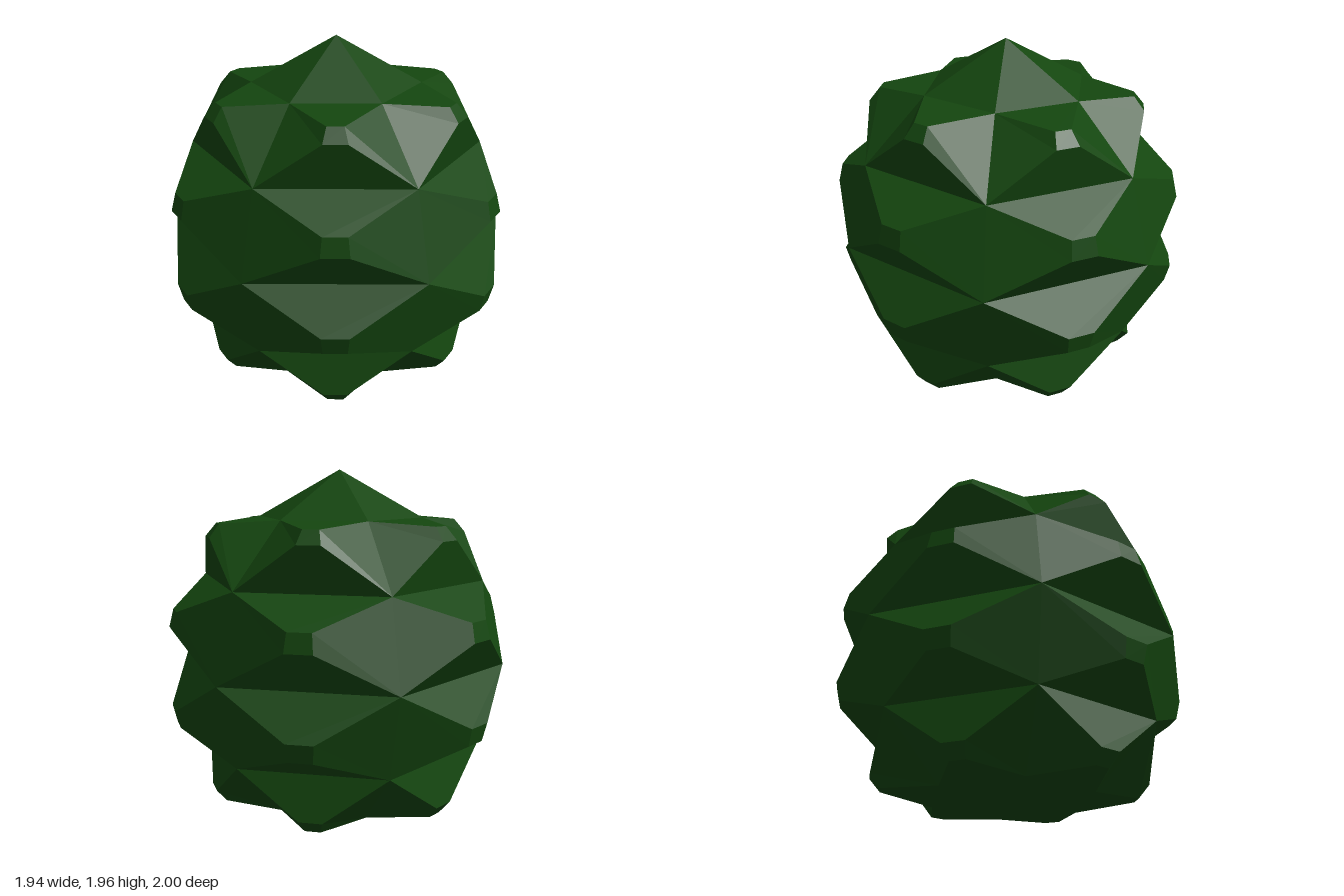
import * as THREE from 'three';

const SIDES = 6;
const STEP = (Math.PI * 2) / SIDES;

// Hexagonal rings of the body, bottom to top: radius, height
const RINGS = [[0.485, 0.005], [0.84, 0.36], [0.97, 0.845], [0.84, 1.33], [0.485, 1.685]];

// Small raised facet in each band: [distance out, height, half width] for its lower and upper edge
const FACETS = [
  [[0.72, 0.03, 0.045], [0.78, 0.105, 0.065]],
  [[0.975, 0.51, 0.065], [1.0, 0.615, 0.075]],
  [[1.0, 1.075, 0.075], [0.975, 1.18, 0.065]],
  [[0.78, 1.585, 0.065], [0.72, 1.66, 0.045]],
];

// Point at a distance out along an angle, shifted sideways
const at = (angle, out, y, side = 0) => [
  out * Math.cos(angle) - side * Math.sin(angle),
  y,
  out * Math.sin(angle) + side * Math.cos(angle),
];

// One band: six knobs, each a four-sided frustum on a quad between two rings
function bandGeometry(lower, upper, [lowEdge, highEdge]) {
  const positions = [];
  const quad = (a, b, c, d) => positions.push(...a, ...b, ...c, ...a, ...c, ...d);
  for (let i = 0; i < SIDES; i++) {
    const mid = (i + 0.5) * STEP;
    const l = mid + STEP / 2;
    const r = mid - STEP / 2;
    const outer = [at(l, ...lower), at(r, ...lower), at(r, ...upper), at(l, ...upper)];
    const inner = [
      at(mid, lowEdge[0], lowEdge[1], lowEdge[2]),
      at(mid, lowEdge[0], lowEdge[1], -lowEdge[2]),
      at(mid, highEdge[0], highEdge[1], -highEdge[2]),
      at(mid, highEdge[0], highEdge[1], highEdge[2]),
    ];
    for (let k = 0; k < 4; k++) {
      const n = (k + 1) % 4;
      quad(outer[k], outer[n], inner[n], inner[k]);
    }
    quad(...inner);
  }
  const geometry = new THREE.BufferGeometry();
  geometry.setAttribute('position', new THREE.Float32BufferAttribute(positions, 3));
  geometry.computeVertexNormals();
  return geometry;
}

export function createModel() {
  const group = new THREE.Group();
  group.name = 'knobblyBush';
  const material = new THREE.MeshStandardMaterial({ color: 0x14460f, flatShading: true });
  const add = (name, geometry) => {
    const mesh = new THREE.Mesh(geometry, material);
    mesh.name = name;
    group.add(mesh);
    return mesh;
  };

  // Four bands of knobs
  const names = ['bottomBand', 'lowerBand', 'upperBand', 'topBand'];
  names.forEach((name, i) => add(name, bandGeometry(RINGS[i], RINGS[i + 1], FACETS[i])));

  // Pointed cap, with a corner on the x axis
  const capHeight = 1.955 - 1.685;
  const cap = add('pointedCap', new THREE.ConeGeometry(0.485, capHeight, SIDES, 1, true, STEP / 2));
  cap.position.y = 1.685 + capHeight / 2;

  // Almost flat underside
  const base = add('underside', new THREE.ConeGeometry(0.485, 0.005, SIDES, 1, true, STEP / 2));
  base.rotation.x = Math.PI;
  base.position.y = 0.0025;

  return group;
}
